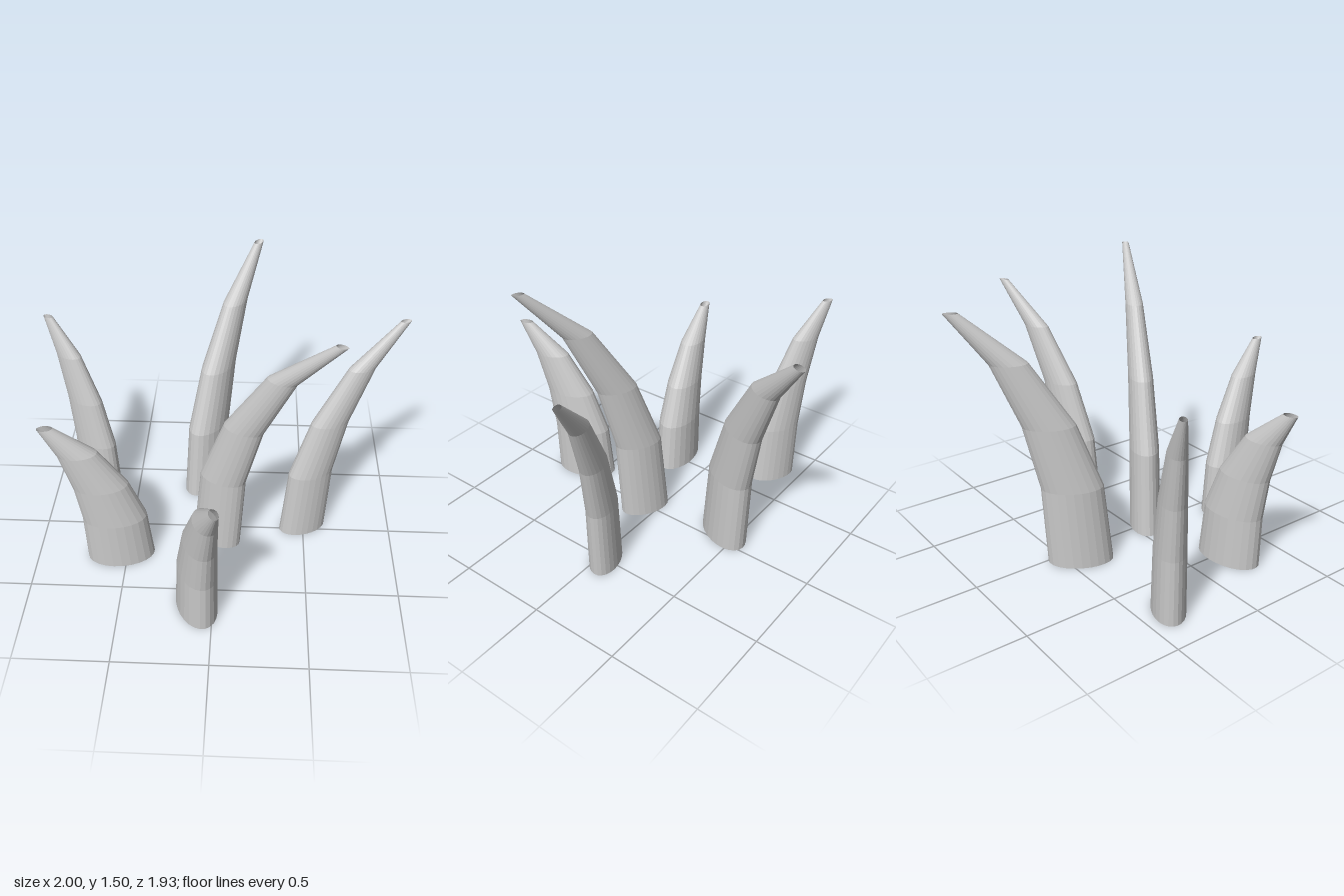
import * as THREE from 'three';

// Shared shape rule: height, outward bend and width at each of the five rings
const RISE = [0, 0.315, 0.568, 0.812, 1];
const BEND = [0, 0.06, 0.245, 0.56, 1];
const WIDTH = [1, 0.94, 0.79, 0.56, 0.215];
const FLATTEN = 0.6; // side thickness relative to depth along the bend

// Hollow curved spike, open at the base and the tip, with level oval rings
function spikeGeometry(radius, height, reach) {
  const geometry = new THREE.CylinderGeometry(1, 1, 1, 24, 4, true);
  const p = geometry.attributes.position;
  for (let i = 0; i < p.count; i++) {
    const ring = Math.round((p.getY(i) + 0.5) * 4);
    const r = radius * WIDTH[ring];
    p.setXYZ(
      i,
      p.getX(i) * r + reach * BEND[ring],
      height * RISE[ring],
      p.getZ(i) * r * FLATTEN
    );
  }
  geometry.computeVertexNormals();
  return geometry;
}

export function createModel() {
  const group = new THREE.Group();
  group.name = 'curvedSpikes';

  const lightGrey = new THREE.MeshStandardMaterial({
    color: 0xcacaca,
    flatShading: true,
    side: THREE.DoubleSide,
  });
  lightGrey.name = 'lightGrey';

  // name, base [x, z], tip [x, z], height, radius along the bend
  const spikes = [
    ['centreSpike', [0, 0.08], [0.582, 0.375], 1.495, 0.1425],
    ['backSpike', [-0.086, -0.42], [0.2, -0.933], 1.38, 0.1735],
    ['leftSpike', [0.494, -0.035], [0.97, -0.22], 1.29, 0.137],
    ['backRightSpike', [-0.73, -0.34], [-0.97, -0.475], 1.12, 0.142],
    ['frontSpike', [-0.086, 0.603], [0.022, 0.925], 0.955, 0.176],
    ['rightSpike', [-0.535, 0.235], [-0.865, 0.285], 0.912, 0.187],
  ];

  for (const [name, base, tip, height, radius] of spikes) {
    const dx = tip[0] - base[0];
    const dz = tip[1] - base[1];
    const spike = new THREE.Mesh(spikeGeometry(radius, height, Math.hypot(dx, dz)), lightGrey);
    spike.name = name;
    spike.position.set(base[0], 0, base[1]);
    spike.rotation.y = Math.atan2(-dz, dx);
    group.add(spike);
  }
  return group;
}
